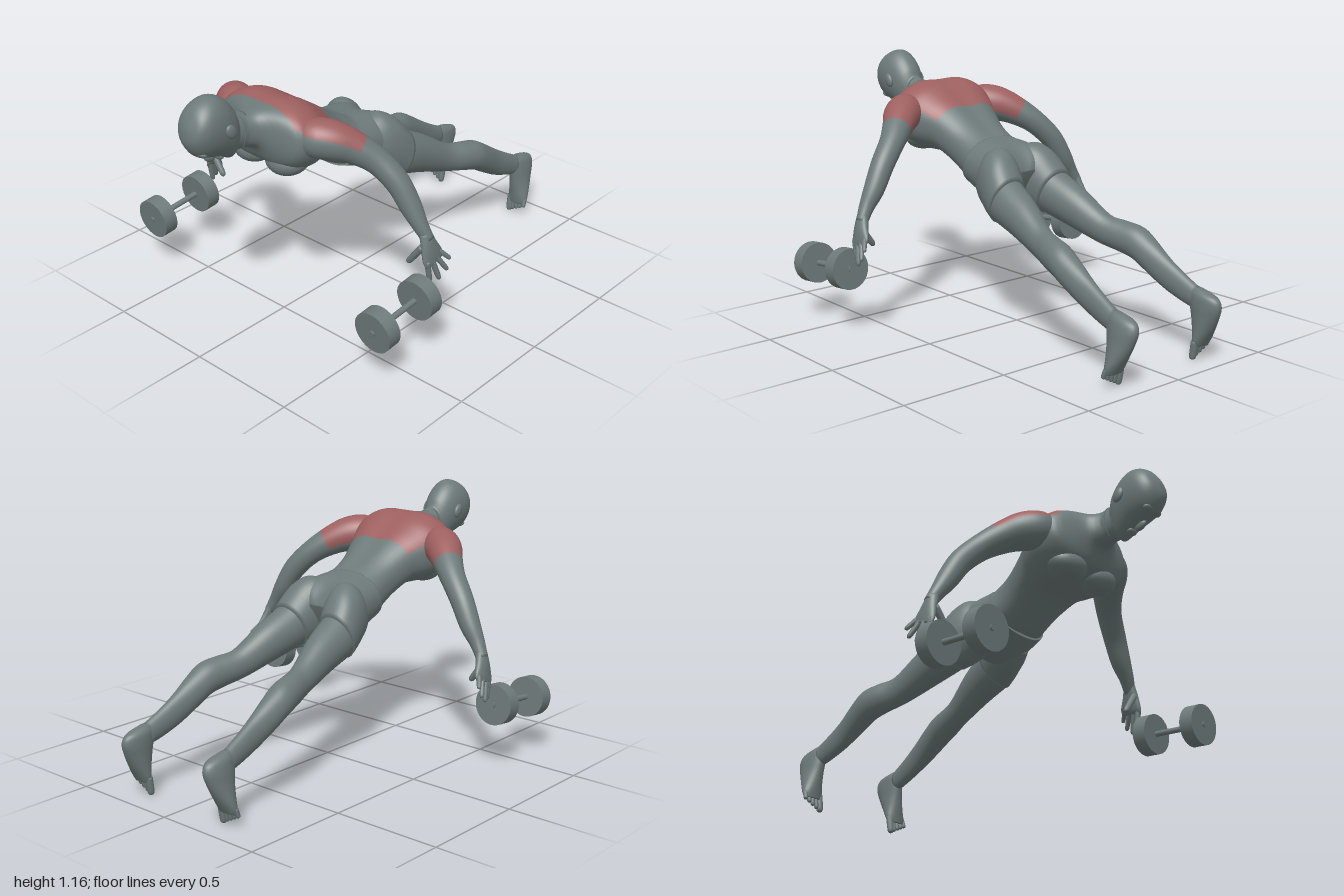
import * as THREE from 'three';

const grey = new THREE.MeshStandardMaterial({ color: 0x6d7979 });
grey.name = 'slate grey';
const red = new THREE.MeshStandardMaterial({ color: 0x9e6060 });
red.name = 'muscle red';

const SEG = 48;

// Catmull-Rom resampling of rows of numbers, n steps per span
function smooth(rows, n) {
  const out = [], last = rows.length - 1;
  for (let i = 0; i < last; i++) {
    const [a, b, c, d] = [i - 1, i, i + 1, i + 2].map(k => rows[Math.min(Math.max(k, 0), last)]);
    for (let k = 0; k < n; k++) {
      const t = k / n;
      out.push(b.map((v, m) => {
        const cubic = 3 * (v - c[m]) + d[m] - a[m];
        const square = 2 * a[m] - 5 * v + 4 * c[m] - d[m];
        return v + 0.5 * t * (c[m] - a[m] + t * (square + t * cubic));
      }));
    }
  }
  out.push(rows[last]);
  return out;
}

// Closed skin over rings of points; painted(i, j) picks the second material
function loft(rings, painted = () => false) {
  const seg = rings[0].length, count = rings.length;
  const pts = rings.flat(), plain = [], paint = [];
  const centre = ring => ring.reduce((s, p) => s.add(p), new THREE.Vector3()).divideScalar(seg);
  pts.push(centre(rings[0]), centre(rings[count - 1]));
  const c0 = seg * count, c1 = c0 + 1, end = seg * (count - 1);
  for (let j = 0; j < seg; j++) {
    const k = (j + 1) % seg;
    for (let i = 0; i < count - 1; i++) {
      const a = i * seg + j, b = i * seg + k;
      (painted(i, j) ? paint : plain).push(a, a + seg, b, b, a + seg, b + seg);
    }
    plain.push(c0, j, k, c1, end + k, end + j);
  }
  const g = new THREE.BufferGeometry().setFromPoints(pts);
  g.setIndex([...plain, ...paint]);
  g.addGroup(0, plain.length, 0);
  if (paint.length) g.addGroup(plain.length, paint.length, 1);
  g.computeVertexNormals();
  return g;
}

// Rows: centre x, back z, back y, front z, front y, half width, back groove, front groove
function bodyRings(rows, e = 1) {
  const pow = v => Math.sign(v) * Math.abs(v) ** e;
  const full = rows.map(r => [...r, 0, 0].slice(0, 8));
  return smooth(full, 4).map(([x, zT, yT, zB, yB, w, gT, gB]) =>
    Array.from({ length: SEG }, (_, j) => {
      const a = j / SEG * Math.PI * 2, c = Math.cos(a), s = Math.sin(a);
      const t = (pow(s) + 1) / 2, dip = Math.exp(-((c / 0.22) ** 2));
      return new THREE.Vector3(x + w * pow(c),
        yB + (yT - yB) * t + (s > 0 ? -gT : gB) * dip, zB + (zT - zB) * t);
    }));
}

// Round limb through rows of x, y, z, radius
function limbRings(rows, seg, ref) {
  const r = smooth(rows, 4), at = i => new THREE.Vector3(...r[i].slice(0, 3));
  return r.map((row, i) => {
    const T = at(Math.min(i + 1, r.length - 1)).sub(at(Math.max(i - 1, 0))).normalize();
    const V = new THREE.Vector3(...ref);
    V.addScaledVector(T, -T.dot(V)).normalize();
    const U = new THREE.Vector3().crossVectors(T, V);
    return Array.from({ length: seg }, (_, j) => {
      const a = j / seg * Math.PI * 2;
      return at(i).addScaledVector(U, row[3] * Math.cos(a)).addScaledVector(V, row[3] * Math.sin(a));
    });
  });
}

// Finger or toe with a rounded tip
function digit(a, b, r) {
  const row = (t, k) => [...a.map((v, i) => v + (b[i] - v) * t), r * k];
  const rows = [row(0, 1), row(0.5, 0.95), row(0.85, 0.85), row(0.96, 0.55), row(1, 0.1)];
  return loft(limbRings(rows, 12, [1, 0, 0]));
}

function ball(x, y, z, rx, ry, rz, tilt) {
  return new THREE.SphereGeometry(1, 32, 20).scale(rx, ry, rz).rotateX(tilt).translate(x, y, z);
}

export function createModel() {
  const model = new THREE.Group();
  model.name = 'exerciser';
  const add = (name, geo, mat = grey) => {
    const m = new THREE.Mesh(geo, mat);
    m.name = name;
    model.add(m);
  };
  // Adds a left part and its mirrored right twin
  const pair = (name, geo, mat = grey) => {
    add(name + 'Left', geo, mat);
    const twin = geo.clone().scale(-1, 1, 1), ix = twin.index.array;
    for (let i = 0; i < ix.length; i += 3) [ix[i], ix[i + 1]] = [ix[i + 1], ix[i]];
    add(name + 'Right', twin, mat);
  };

  // Head, crown to neck
  add('head', loft(bodyRings([
    [0, 0.985, 1.085, 0.997, 1.055, 0.012], [0, 0.955, 1.13, 1.0, 1.005, 0.058],
    [0, 0.91, 1.158, 0.985, 0.965, 0.082], [0, 0.86, 1.163, 0.955, 0.93, 0.09],
    [0, 0.81, 1.135, 0.91, 0.912, 0.089], [0, 0.77, 1.09, 0.865, 0.898, 0.08],
    [0, 0.755, 1.06, 0.82, 0.878, 0.068], [0, 0.75, 1.05, 0.787, 0.864, 0.057],
    [0, 0.74, 1.045, 0.765, 0.882, 0.056], [0, 0.70, 1.035, 0.71, 0.885, 0.06]])));
  add('nose', ball(0, 0.9, 0.883, 0.014, 0.02, 0.03, -0.45));
  add('brow', ball(0, 0.945, 0.945, 0.055, 0.018, 0.025, -0.6));
  add('mouth', ball(0, 0.888, 0.835, 0.026, 0.014, 0.018, -0.4));
  pair('ear', ball(0.092, 1.025, 0.842, 0.014, 0.034, 0.024, 0.5));

  // Torso, neck to waist, with the upper back painted
  add('torso', loft(bodyRings([
    [0, 0.74, 1.043, 0.74, 0.888, 0.058], [0, 0.71, 1.033, 0.71, 0.882, 0.061],
    [0, 0.66, 1.035, 0.665, 0.865, 0.098], [0, 0.60, 1.052, 0.63, 0.80, 0.222, 0.006, 0.008],
    [0, 0.54, 1.065, 0.58, 0.755, 0.25, 0.012, 0.02], [0, 0.47, 1.05, 0.51, 0.735, 0.245, 0.014, 0.02],
    [0, 0.40, 1.006, 0.45, 0.733, 0.215, 0.014, 0.014], [0, 0.34, 0.965, 0.40, 0.728, 0.185, 0.014, 0.01],
    [0, 0.25, 0.90, 0.32, 0.685, 0.158, 0.012, 0.01], [0, 0.18, 0.86, 0.26, 0.648, 0.152, 0.01, 0.008],
    [0, 0.12, 0.828, 0.2, 0.62, 0.162, 0.005, 0.003]], 0.88),
    (i, j) => i >= 12 && i < 28 && j >= 3 && j < 21), [grey, red]);
  pair('pectoral', ball(0.095, 0.802, 0.545, 0.1, 0.066, 0.09, 0.25));

  // Shorts: seat and two legs
  add('shortsSeat', loft(bodyRings([
    [0, 0.135, 0.84, 0.21, 0.614, 0.168, 0.004], [0, 0.115, 0.836, 0.19, 0.606, 0.172, 0.004],
    [0, 0.04, 0.829, 0.12, 0.58, 0.182, 0.012], [0, -0.02, 0.812, 0.05, 0.557, 0.188, 0.03],
    [0, -0.06, 0.77, 0.0, 0.555, 0.16, 0.03], [0, -0.08, 0.71, -0.02, 0.59, 0.09]], 0.9)));
  pair('shortsLeg', loft(bodyRings([
    [0.09, 0.06, 0.80, 0.12, 0.60, 0.075], [0.1, 0.01, 0.818, 0.07, 0.557, 0.095],
    [0.108, -0.03, 0.81, 0.03, 0.535, 0.103], [0.122, -0.08, 0.775, -0.01, 0.515, 0.102],
    [0.14, -0.142, 0.70, -0.06, 0.498, 0.094]], 0.95)));

  // Legs, thigh to ankle
  pair('leg', loft(bodyRings([
    [0.13, -0.10, 0.72, -0.03, 0.52, 0.085], [0.14, -0.142, 0.692, -0.06, 0.503, 0.09],
    [0.156, -0.26, 0.63, -0.2, 0.463, 0.077], [0.182, -0.39, 0.545, -0.36, 0.412, 0.058],
    [0.208, -0.47, 0.527, -0.46, 0.388, 0.062], [0.224, -0.55, 0.512, -0.54, 0.365, 0.064],
    [0.228, -0.62, 0.472, -0.61, 0.325, 0.056], [0.23, -0.72, 0.405, -0.70, 0.275, 0.04],
    [0.235, -0.80, 0.357, -0.79, 0.24, 0.033], [0.24, -0.88, 0.315, -0.86, 0.22, 0.03]])));

  // Feet standing on the toes
  pair('foot', loft(bodyRings([
    [0.24, -0.935, 0.305, -0.85, 0.318, 0.015], [0.24, -0.985, 0.285, -0.838, 0.292, 0.034],
    [0.243, -1.0, 0.25, -0.84, 0.24, 0.041], [0.247, -0.985, 0.2, -0.848, 0.19, 0.043],
    [0.253, -0.955, 0.14, -0.856, 0.13, 0.048], [0.257, -0.925, 0.09, -0.862, 0.085, 0.052],
    [0.257, -0.908, 0.062, -0.866, 0.058, 0.046]])));
  for (let k = 0; k < 5; k++) {
    const x = 0.22 + k * 0.02;
    pair('toe' + (k + 1), digit([x, 0.085, -0.888], [x + 0.001 * k, 0.001 + 0.011 * k, -0.875], k ? 0.0115 : 0.017));
  }

  // Arms, with the rear shoulder painted
  pair('arm', loft(limbRings([
    [0.17, 0.925, 0.53, 0.06], [0.225, 0.928, 0.52, 0.083], [0.285, 0.917, 0.475, 0.083],
    [0.345, 0.887, 0.42, 0.07], [0.42, 0.83, 0.362, 0.057], [0.5, 0.745, 0.325, 0.052],
    [0.56, 0.645, 0.308, 0.046], [0.605, 0.575, 0.302, 0.034], [0.64, 0.515, 0.29, 0.026]],
    SEG, [0, 1, -0.5]),
    (i, j) => i < 13 && j < 24), [grey, red]);

  // Hands
  pair('palm', loft(bodyRings([
    [0.628, 0.272, 0.555, 0.325, 0.545, 0.024], [0.643, 0.25, 0.5, 0.332, 0.49, 0.024],
    [0.655, 0.225, 0.455, 0.337, 0.43, 0.02], [0.663, 0.225, 0.428, 0.33, 0.405, 0.013]])));
  const fingers = [
    [[0.66, 0.43, 0.318], [0.662, 0.325, 0.3], 0.013], [[0.662, 0.43, 0.292], [0.682, 0.328, 0.262], 0.013],
    [[0.662, 0.435, 0.266], [0.692, 0.36, 0.222], 0.012], [[0.66, 0.45, 0.243], [0.69, 0.405, 0.203], 0.011]];
  fingers.forEach((f, k) => pair('finger' + (k + 1), digit(...f)));
  pair('thumb', digit([0.635, 0.49, 0.318], [0.558, 0.388, 0.322], 0.016));

  // Dumbbells, tipped slightly forward
  const bar = (r, len, off) => new THREE.CylinderGeometry(r, r, len, 40)
    .translate(0, off, 0).rotateX(Math.PI / 2 + 0.1).translate(0.67, 0.278, 0.505);
  pair('dumbbellHandle', bar(0.013, 0.342, 0));
  pair('dumbbellFrontPlate', bar(0.092, 0.066, 0.13));
  pair('dumbbellBackPlate', bar(0.092, 0.066, -0.13));
  return model;
}
